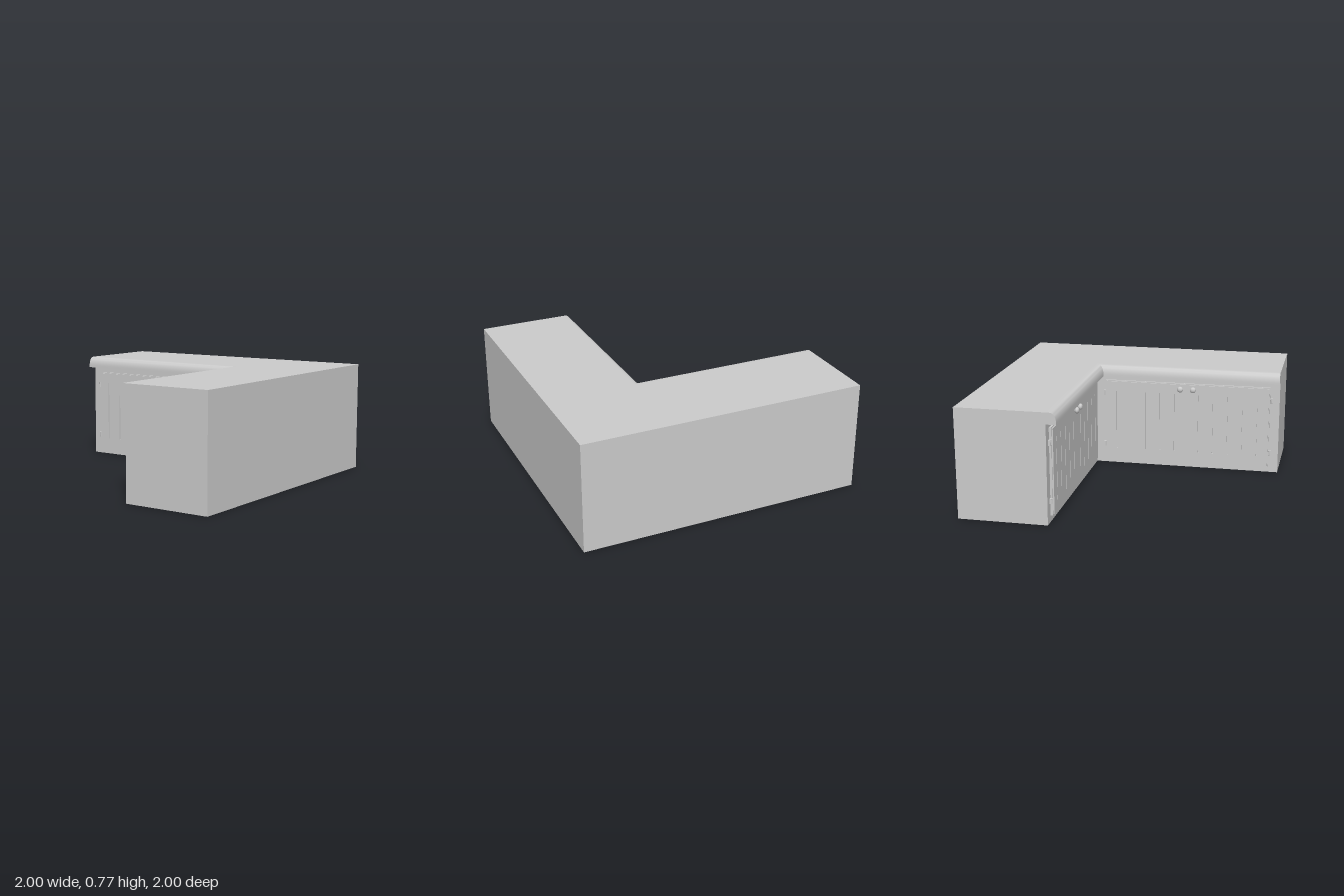
import * as THREE from 'three';
import { toCreasedNormals } from 'three/addons/utils/BufferGeometryUtils.js';

const grey = new THREE.MeshStandardMaterial({ color: 0xcccccc });
const FACE = 0.38;       // inner cabinet faces lie at x = FACE and z = -FACE
const BODY_TOP = 0.69;
const TOP = 0.77;

function add(parent, name, geometry, x = 0, y = 0, z = 0) {
  const mesh = new THREE.Mesh(geometry, grey);
  mesh.name = name;
  mesh.position.set(x, y, z);
  parent.add(mesh);
  return mesh;
}

function rectangle(Type, x0, y0, x1, y1) {
  const r = new Type();
  r.moveTo(x0, y0);
  r.lineTo(x1, y0);
  r.lineTo(x1, y1);
  r.lineTo(x0, y1);
  r.closePath();
  return r;
}

// Corner-shaped slab; the shape's y axis becomes -z
function cornerSlab(height, hole) {
  const shape = new THREE.Shape([
    [-1, 1], [-1, FACE], [FACE, FACE], [FACE, -1], [1, -1], [1, 1],
  ].map(([x, y]) => new THREE.Vector2(x, y)));
  if (hole) shape.holes.push(hole);
  return new THREE.ExtrudeGeometry(shape, { depth: height, bevelEnabled: false }).rotateX(-Math.PI / 2);
}

// Rounded overhanging edge, swept along both inner faces with a mitred corner
function edgeTrim() {
  const profile = [[0, BODY_TOP], [0.07, BODY_TOP]];
  for (let i = 0; i <= 8; i++) {
    const a = (i / 8) * Math.PI / 2;
    profile.push([0.025 + 0.045 * Math.cos(a), 0.705 + 0.065 * Math.sin(a)]);
  }
  profile.push([0, TOP]);
  const n = profile.length;
  const stations = [
    (d) => [-1, -FACE + d],
    (d) => [FACE - d, -FACE + d],
    (d) => [FACE - d, 1],
  ];
  const positions = [];
  const index = [];
  for (const station of stations) {
    for (const [d, y] of profile) {
      const [x, z] = station(d);
      positions.push(x, y, z);
    }
  }
  for (let s = 0; s < 2; s++) {
    for (let j = 0; j < n; j++) {
      const a = s * n + j, a2 = s * n + (j + 1) % n;
      index.push(a, a + n, a2, a2, a + n, a2 + n);
    }
  }
  // End caps
  for (let j = 1; j < n - 1; j++) {
    index.push(0, j, j + 1, 2 * n, 2 * n + j + 1, 2 * n + j);
  }
  const g = new THREE.BufferGeometry();
  g.setAttribute('position', new THREE.Float32BufferAttribute(positions, 3));
  g.setIndex(index);
  return toCreasedNormals(g, 0.6);
}

// Grooved door front with knobs and hinges, facing +z and centred on x = 0
function doorFront() {
  const door = new THREE.Group();
  door.name = 'doorFront';
  const half = 0.617, bottom = 0.045, top = 0.65, lip = 0.007;

  add(door, 'doorBacking', new THREE.BoxGeometry(half * 2, top - bottom, 0.016), 0, (top + bottom) / 2, 0.008);

  // Front layer with vertical grooves cut through to the backing
  const panel = rectangle(THREE.Shape, -half + lip, bottom + lip, half - lip, top - lip);
  for (const side of [-1, 1]) {
    for (let i = 0; i < 5; i++) {
      const x = side * (0.09 + i * 0.11);
      panel.holes.push(rectangle(THREE.Path, x - 0.004, 0.125, x + 0.004, 0.57));
    }
  }
  add(door, 'groovedPanel', new THREE.ExtrudeGeometry(panel, { depth: 0.009, bevelEnabled: false }), 0, 0, 0.016);

  for (const side of [-1, 1]) {
    // Knob on a short stem
    const x = side * 0.048;
    add(door, 'knobStem', new THREE.CylinderGeometry(0.01, 0.01, 0.015, 16).rotateX(Math.PI / 2), x, 0.61, 0.03);
    add(door, 'knob', new THREE.SphereGeometry(0.022, 24, 16).scale(1, 1, 0.7), x, 0.61, 0.04);
    // Hinge plate and pin
    for (const y of [0.15, 0.55]) {
      add(door, 'hingePlate', new THREE.BoxGeometry(0.02, 0.038, 0.012), side * 0.627, y, 0.006);
      add(door, 'hingePin', new THREE.CylinderGeometry(0.006, 0.006, 0.038, 12), side * 0.624, y, 0.014);
    }
  }
  return door;
}

export function createModel() {
  const model = new THREE.Group();
  model.name = 'cornerCabinet';

  // Cabinet body, hollow and open underneath at the corner
  const cavity = rectangle(THREE.Path, FACE + 0.004, FACE + 0.004, 0.94, 0.94);
  add(model, 'cabinetBody', cornerSlab(BODY_TOP, cavity));

  // Worktop and its rounded edge
  add(model, 'worktop', cornerSlab(TOP - BODY_TOP), 0, BODY_TOP, 0);
  add(model, 'worktopEdge', edgeTrim());

  // One door front on each inner face
  const backDoor = doorFront();
  backDoor.position.set(-0.313, 0, -FACE);
  const sideDoor = doorFront();
  sideDoor.rotation.y = -Math.PI / 2;
  sideDoor.position.set(FACE, 0, 0.313);
  model.add(backDoor, sideDoor);

  return model;
}
